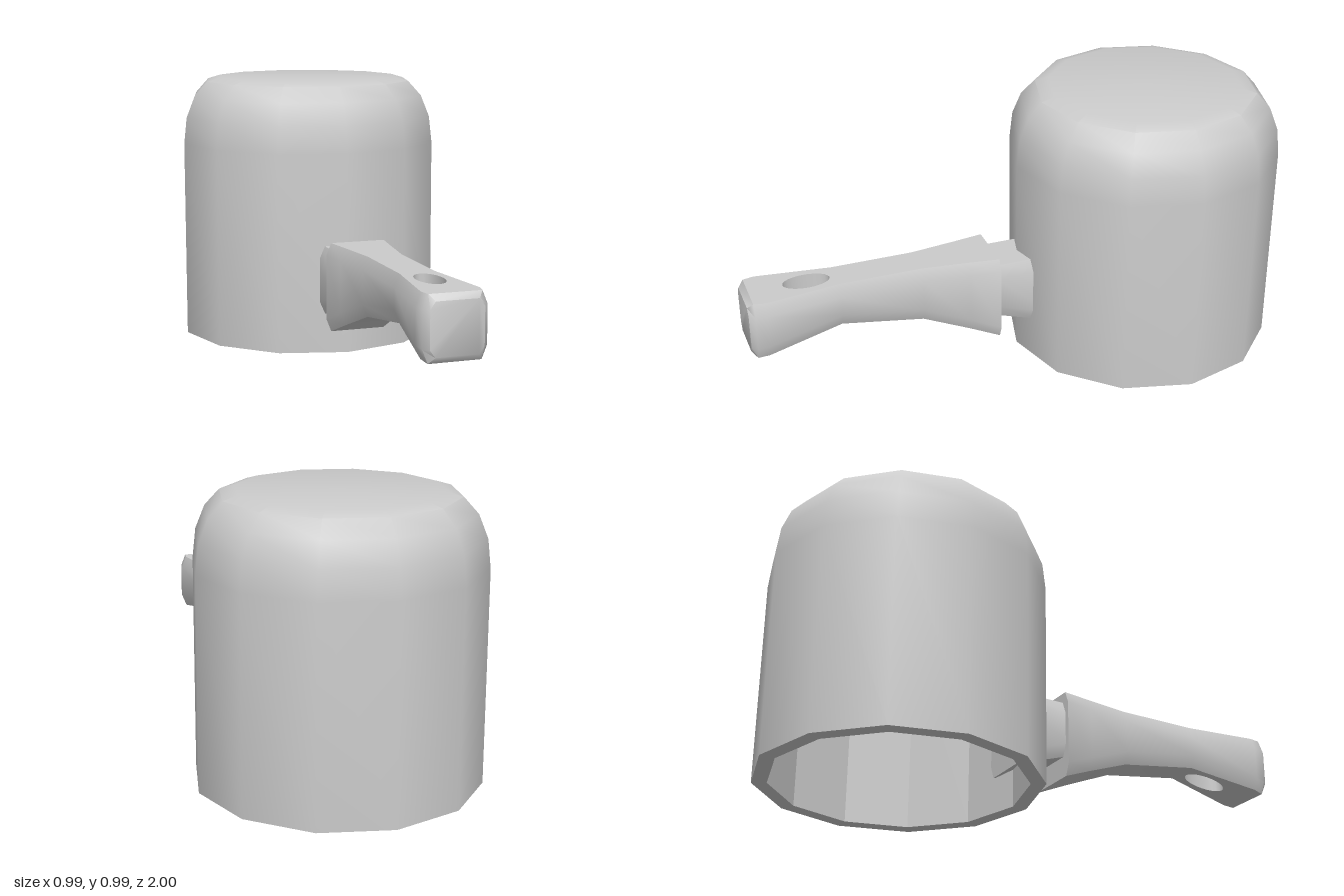
import * as THREE from 'three';
import { toCreasedNormals } from 'three/addons/utils/BufferGeometryUtils.js';

const grey = () => new THREE.MeshStandardMaterial({ color: 0xcccccc });

function named(name, geometry, material = grey()) {
  const mesh = new THREE.Mesh(geometry, material);
  mesh.name = name;
  return mesh;
}

// Collects quads and fans, then shades them smooth with sharp creases
function surface(triangles, crease) {
  const geo = new THREE.BufferGeometry();
  geo.setAttribute('position', new THREE.Float32BufferAttribute(triangles.flat(2), 3));
  return toCreasedNormals(geo, crease);
}

// Chamfered rectangle at depth z, counter-clockwise seen from +z
function section({ z, w, top, bottom, cx = 0.018, cy = 0.045 }) {
  const f = w - cx;
  return [
    [f, top], [-f, top], [-w, top - cy], [-w, bottom + cy],
    [-f, bottom], [f, bottom], [w, bottom + cy], [w, top - cy],
  ].map(([x, y]) => [x, y, z]);
}

// Skins the sections; skip(k, i) leaves a quad open
function loft(stations, skip = () => false) {
  const rings = stations.map(section);
  const tris = [];
  for (let k = 0; k < rings.length - 1; k++) {
    for (let i = 0; i < 8; i++) {
      if (skip(k, i)) continue;
      const j = (i + 1) % 8;
      const [a, b, c, d] = [rings[k][i], rings[k][j], rings[k + 1][j], rings[k + 1][i]];
      tris.push([a, b, c], [a, c, d]);
    }
  }
  const first = rings[0], last = rings[rings.length - 1];
  for (let i = 1; i < 7; i++) {
    tris.push([first[0], first[i + 1], first[i]], [last[0], last[i], last[i + 1]]);
  }
  return tris;
}

// Flat top or bottom patch of the grip with the hanging hole cut out, plus the hole wall
function holedPatches(s0, s1) {
  const inset = 0.018;
  const f0 = s0.w - inset, f1 = s1.w - inset;
  const shape = new THREE.Shape([[-f0, s0.z], [f0, s0.z], [f1, s1.z], [-f1, s1.z]]
    .map(([x, z]) => new THREE.Vector2(x, z)));
  const rim = Array.from({ length: 24 }, (_, i) => {
    const t = (i / 24) * Math.PI * 2;
    return new THREE.Vector2(0.046 * Math.cos(t), 0.775 + 0.084 * Math.sin(t));
  });
  shape.holes.push(new THREE.Path(rim));
  const flat = new THREE.ShapeGeometry(shape);
  const pos = flat.attributes.position, idx = flat.index;
  const at = (key, x, z) =>
    [x, THREE.MathUtils.mapLinear(z, s0.z, s1.z, s0[key], s1[key]), z];
  const tris = [];
  for (let n = 0; n < idx.count; n += 3) {
    const ids = [idx.getX(n), idx.getX(n + 1), idx.getX(n + 2)];
    tris.push(ids.map(i => at('bottom', pos.getX(i), pos.getY(i))));
    tris.push(ids.reverse().map(i => at('top', pos.getX(i), pos.getY(i))));
  }
  rim.forEach((p, i) => {
    const q = rim[(i + 1) % rim.length];
    const a = at('top', p.x, p.y), b = at('top', q.x, q.y);
    const c = at('bottom', q.x, q.y), d = at('bottom', p.x, p.y);
    tris.push([a, d, c], [a, c, b]);
  });
  return tris;
}

export function createModel() {
  const model = new THREE.Group();
  model.name = 'saucepan';

  // Upturned twelve-sided pot
  const pot = new THREE.Group();
  pot.name = 'pot';
  pot.position.z = -0.507;
  const lathe = points =>
    new THREE.LatheGeometry(points.map(([x, y]) => new THREE.Vector2(x, y)), 12);
  const outer = lathe([
    [0.44, 0], [0.493, 0], [0.493, 0.74], [0.482, 0.84],
    [0.45, 0.92], [0.4, 0.975], [0.35, 0.99], [0, 0.99],
  ]);
  pot.add(named('potOutside', toCreasedNormals(outer, 0.6)));
  const insideMaterial = grey();
  insideMaterial.flatShading = true;
  pot.add(named('potInside', lathe([
    [0, 0.94], [0.33, 0.94], [0.4, 0.87], [0.44, 0.74], [0.44, 0],
  ]), insideMaterial));
  model.add(pot);

  // Neck that passes through the pot wall
  model.add(named('handleNeck', surface(loft([
    { z: -0.1, w: 0.1, top: 0.4, bottom: 0.127 },
    { z: 0.1, w: 0.1, top: 0.4, bottom: 0.193 },
  ]), 0.6)));

  // Waisted grip, with its hanging hole between stations 3 and 4
  const grip = [
    { z: 0.09, w: 0.118, top: 0.435, bottom: 0.112 },
    { z: 0.2, w: 0.102, top: 0.435, bottom: 0.158 },
    { z: 0.37, w: 0.08, top: 0.435, bottom: 0.225 },
    { z: 0.67, w: 0.08, top: 0.435, bottom: 0.272 },
    { z: 0.94, w: 0.115, top: 0.435, bottom: 0.225 },
    { z: 0.98, w: 0.107, top: 0.435, bottom: 0.218 },
    { z: 1.0, w: 0.09, top: 0.415, bottom: 0.24, cy: 0.025 },
  ];
  const holeSpan = 3;
  const gripTris = loft(grip, (k, i) => k === holeSpan && (i === 0 || i === 4));
  gripTris.push(...holedPatches(grip[holeSpan], grip[holeSpan + 1]));
  model.add(named('handleGrip', surface(gripTris, 0.75)));

  return model;
}
